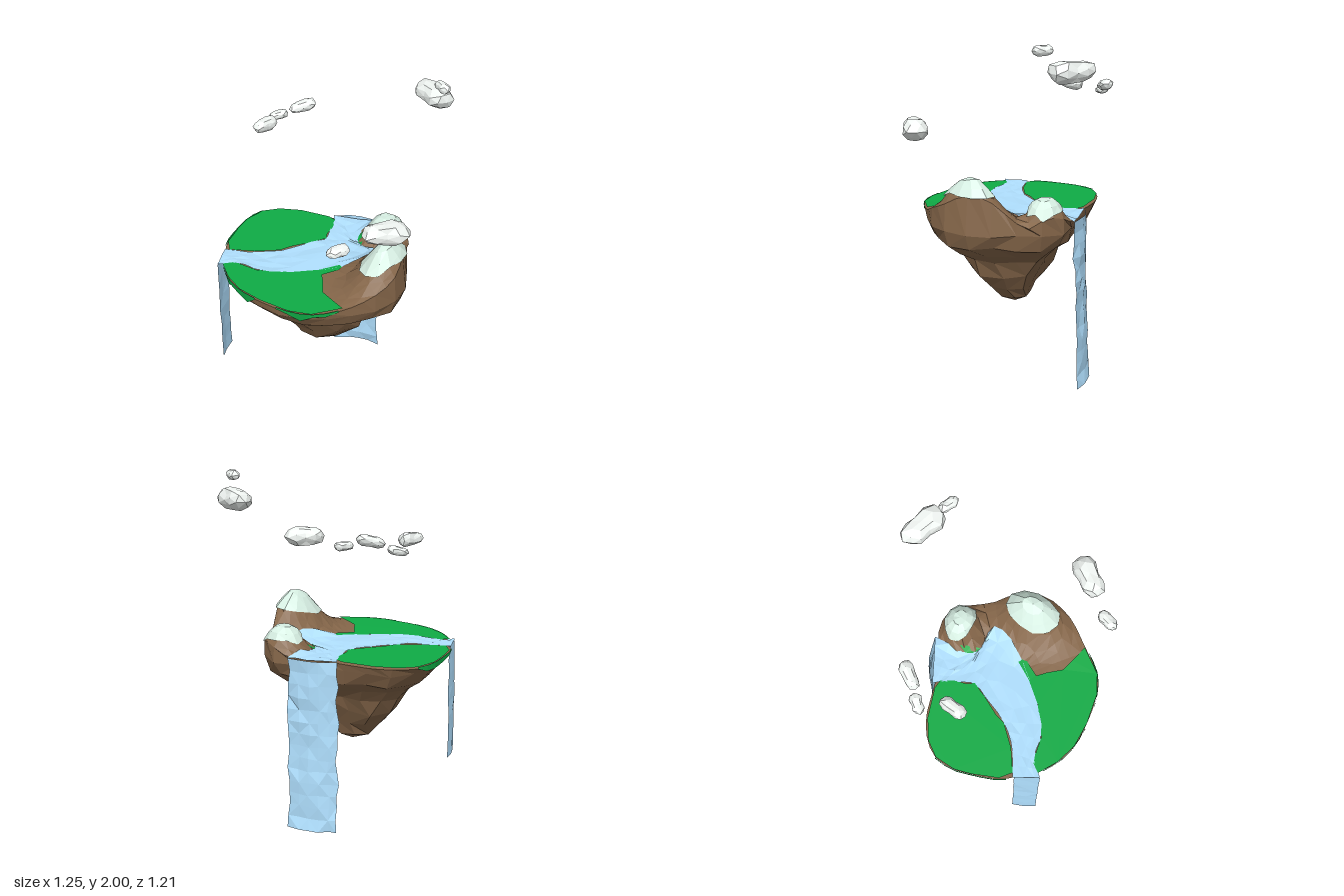
import * as THREE from 'three';

const mat = (color, side = THREE.FrontSide) => new THREE.MeshStandardMaterial({ color, flatShading: true, side });
const EARTH = mat(0x86674a), GRASS = mat(0x0fac46, THREE.DoubleSide), SNOW = mat(0xd8f0e4, THREE.DoubleSide);
const WATER = mat(0xb0e0ff, THREE.DoubleSide), CLOUD = mat(0xf1f6f3);

// repeatable noise in -1..1 from a position
const noise = (x, y, z) => {
  const s = Math.sin(x * 127.1 + y * 311.7 + z * 74.7) * 43758.5453;
  return 2 * (s - Math.floor(s)) - 1;
};

// height of the two hills above the meadow
function hills(x, z) {
  const big = 0.25 * Math.exp(-((x - 0.38) ** 2) / 0.02 - ((z - 0.07) ** 2) / 0.045);
  const r2 = ((x - 0.18) / 0.12) ** 2 + ((z + 0.28) / 0.112) ** 2;
  return Math.max(big, 0.14 * Math.exp(-(r2 ** 1.8)));
}

function named(name, geometry, material) {
  const mesh = new THREE.Mesh(geometry, material);
  mesh.name = name;
  return mesh;
}

// faceted surface through rows of points; collapsed triangles are dropped
function loft(rows, closed) {
  const n = rows[0].length, pos = [];
  const same = (p, q) => p.every((v, k) => Math.abs(v - q[k]) < 1e-6);
  const put = (a, b, c) => {
    if (!same(a, b) && !same(b, c) && !same(a, c)) pos.push(...a, ...b, ...c);
  };
  for (let r = 0; r < rows.length - 1; r++) {
    for (let i = 0; i < (closed ? n : n - 1); i++) {
      const j = (i + 1) % n;
      const a = rows[r][i], b = rows[r][j], c = rows[r + 1][i], d = rows[r + 1][j];
      if ((r + i) % 2) { put(a, b, c); put(b, d, c); }
      else { put(a, b, d); put(a, d, c); }
    }
  }
  const g = new THREE.BufferGeometry();
  g.setAttribute('position', new THREE.Float32BufferAttribute(pos, 3));
  g.computeVertexNormals();
  return g;
}

// island outline as x, z
const OUTLINE = [
  [0.5, 0.17], [0.45, 0.3], [0.33, 0.43], [0.2, 0.55], [0.08, 0.59], [-0.1, 0.595], [-0.25, 0.575],
  [-0.37, 0.52], [-0.47, 0.43], [-0.53, 0.34], [-0.58, 0.25], [-0.61, 0.1], [-0.62, 0], [-0.595, -0.12],
  [-0.52, -0.2], [-0.4, -0.26], [-0.25, -0.285], [-0.15, -0.3], [-0.05, -0.33], [0.05, -0.375],
  [0.14, -0.4], [0.25, -0.37], [0.33, -0.28], [0.38, -0.15], [0.45, -0.04], [0.49, 0.07]];
const curve2 = (pts, closed) =>
  new THREE.CatmullRomCurve3(pts.map(([x, z]) => new THREE.Vector3(x, 0, z)), closed);
const SEGS = 48;
const RIM = curve2(OUTLINE, true).getSpacedPoints(SEGS).slice(0, SEGS);
const CX = -0.04, CZ = 0.07;
const toward = (p, t) => [CX + (p.x - CX) * t, CZ + (p.z - CZ) * t];

function island() {
  const rows = [];
  // top surface, from the middle to the rim, pulled in where the rim is high
  for (const t of [0, 0.25, 0.45, 0.58, 0.68, 0.78, 0.86, 0.93, 1]) {
    rows.push(RIM.map((p) => {
      const [x, z] = toward(p, t - (t === 1 ? 0.3 * hills(p.x, p.z) : 0));
      return [x, 0.99 + hills(x, z) * (1 + 0.03 * noise(x, t, z)), z];
    }));
  }
  // underside, from the rim to the tip: height, share of the rim at left, right, front and back of the plan, rim points per facet
  const under = [
    [0.95, 0.95, 1.0, 0.98, 0.99, 2], [0.87, 0.82, 0.95, 0.88, 0.93, 2], [0.8, 0.66, 0.8, 0.73, 0.72, 3],
    [0.735, 0.57, 0.6, 0.59, 0.53, 3], [0.63, 0.48, 0.51, 0.45, 0.41, 4], [0.54, 0.35, 0.36, 0.33, 0.3, 4],
    [0.465, 0.21, 0.2, 0.18, 0.2, 6], [0.408, 0, 0, 0, 0, SEGS]];
  under.forEach(([y, left, right, front, back, step], k) => rows.push(RIM.map((_, i) => {
    if (step === SEGS) return [CX, y, CZ];
    const f = Math.floor((i + (k % 2) * (step >> 1)) / step) % (SEGS / step);
    const p = RIM[f * step], dx = p.x - CX, dz = p.z - CZ, w = dx * dx / (dx * dx + dz * dz);
    const t = w * (dx < 0 ? left : right) + (1 - w) * (dz > 0 ? front : back);
    const [x, z] = toward(p, t * (1 + (k ? 0.03 : 0.008) * noise(f, k, 3)));
    return [x, y + 0.012 * noise(f, k, 7), z];
  })));
  return named('earth', loft(rows, true), EARTH);
}

// flat patch laid over the ground
function patch(name, outline) {
  const g = new THREE.ShapeGeometry(new THREE.Shape(outline.map(([x, z]) => new THREE.Vector2(x, -z))));
  g.rotateX(-Math.PI / 2);
  const p = g.attributes.position;
  for (let i = 0; i < p.count; i++) p.setY(i, 1 + hills(p.getX(i), p.getZ(i)));
  g.computeVertexNormals();
  return named(name, g, GRASS);
}

// ragged grass hanging over the rim between two rim points
function fringe(from, to, depth) {
  const top = [], low = [];
  for (let i = from; i <= to; i++) {
    const p = RIM[i % SEGS], h = hills(p.x, p.z);
    const drop = i === from || i === to ? 0.005 : depth * (0.65 + 0.4 * noise(i, 2, 5));
    const [x, z] = toward(p, 1.006);
    const [x2, z2] = toward(p, 1.012 - 0.4 * drop);
    top.push([x, 1 + h, z]);
    low.push([x2, 0.995 + h - drop, z2]);
  }
  return named('grassFringe', loft([top, low], false), GRASS);
}

// snow cap draped on a hill, with an uneven edge
function snowCap(name, cx, cz, rx, rz) {
  const n = 11, rows = [0, 0.4, 0.75, 1].map((t) => Array.from({ length: n }, (_, i) => {
    const a = (i / n) * Math.PI * 2;
    const s = t === 1 ? 0.97 + 0.12 * noise(i, cx, 4) : t;
    const x = cx + Math.cos(a) * rx * s, z = cz + Math.sin(a) * rz * s;
    return [x, 1.003 + hills(x, z) + (t > 0 && t < 1 ? 0.004 * noise(i, t, cx) : 0), z];
  }));
  return named(name, loft(rows, true), SNOW);
}

function river() {
  const left = curve2([[-0.545, 0.32], [-0.38, 0.25], [-0.26, 0.15], [-0.17, 0.01], [-0.115, -0.08],
    [-0.14, -0.17], [-0.17, -0.26], [-0.2, -0.305]]).getPoints(18);
  const right = curve2([[-0.49, 0.46], [-0.4, 0.39], [-0.25, 0.38], [-0.02, 0.24], [0.2, 0.02],
    [0.235, -0.11], [0.09, -0.125], [0.04, -0.2], [0.07, -0.4]]).getPoints(18);
  const rows = left.map((l, i) => Array.from({ length: 6 }, (_, k) => {
    const x = l.x + (right[i].x - l.x) * k / 5, z = l.z + (right[i].z - l.z) * k / 5;
    return [x, 1 + hills(x, z) + 0.004 * noise(i, k, 1), z];
  }));
  return named('river', loft(rows, false), WATER);
}

// falling sheet: plan line at the top, drift of the foot, heights
function waterfall(name, line, foot, yTop, yEnd, steps, cols, rough) {
  const top = curve2(line).getPoints(cols);
  const rows = Array.from({ length: steps + 1 }, (_, r) => top.map((p, k) => {
    const t = r / steps, w = r ? rough : 0;
    return [p.x + foot[0] * t + w * noise(r, k, 1), yTop + (yEnd - yTop) * t + w * 0.5 * noise(r, k, 2),
      p.z + foot[1] * t * t + w * noise(r, k, 3)];
  }));
  return named(name, loft(rows, false), WATER);
}

// lumpy cloud: position, size, turn, tilt
function cloud([x, y, z, length, height, width, turn, tilt], index) {
  const g = new THREE.IcosahedronGeometry(1, 1);
  const p = g.attributes.position;
  for (let i = 0; i < p.count; i++) {
    const v = new THREE.Vector3().fromBufferAttribute(p, i);
    const q = v.toArray().map((c) => Math.round(c * 100) / 100 + 0);
    const waist = 0.88 + 0.4 * Math.abs(v.x) + (v.x > 0.1 ? 0.05 : -0.05);
    const k = 1 + 0.09 * noise(q[0] + index, q[1], q[2]);
    p.setXYZ(i, v.x * k * length / 2, v.y * k * waist * height / 2, v.z * k * waist * width / 2);
  }
  g.computeVertexNormals();
  const m = named('cloud', g, CLOUD);
  m.position.set(x, y, z);
  m.rotation.set(0, turn, tilt);
  return m;
}

export function createModel() {
  const group = new THREE.Group();
  group.name = 'floatingIsland';
  group.add(island());
  group.add(patch('leftMeadow', [
    [-0.17, -0.27], [-0.14, -0.2], [-0.13, -0.12], [-0.11, -0.08], [-0.17, 0.01], [-0.24, 0.1], [-0.27, 0.16],
    [-0.39, 0.25], [-0.52, 0.31], [-0.575, 0.25], [-0.61, 0.1], [-0.62, 0], [-0.593, -0.12], [-0.52, -0.195],
    [-0.4, -0.25], [-0.22, -0.282]]));
  group.add(patch('frontMeadow', [
    [-0.47, 0.44], [-0.42, 0.39], [-0.27, 0.385], [-0.1, 0.3], [0.02, 0.2], [0.12, 0.08], [0.12, 0.15],
    [0.06, 0.23], [0.1, 0.28], [0.15, 0.36], [0.22, 0.39], [0.32, 0.43], [0.2, 0.55], [0.08, 0.59],
    [-0.1, 0.595], [-0.25, 0.575], [-0.37, 0.52]]));
  group.add(patch('bankGrass', [[0.04, -0.2], [0.055, -0.155], [0.1, -0.12], [0.085, -0.18], [0.06, -0.24]]));

  // fringes along the front and left rim
  const near = (x, z) => RIM.reduce((b, p, i) =>
    Math.hypot(p.x - x, p.z - z) < Math.hypot(RIM[b].x - x, RIM[b].z - z) ? i : b, 0);
  group.add(fringe(near(0.3, 0.46), near(0.02, 0.59), 0.055));
  group.add(fringe(near(-0.12, 0.59), near(-0.45, 0.45), 0.075));
  group.add(fringe(near(-0.57, 0.26), near(-0.6, -0.1), 0.04));

  group.add(snowCap('largeSnowCap', 0.365, 0.085, 0.115, 0.155));
  group.add(snowCap('smallSnowCap', 0.182, -0.285, 0.12, 0.093));
  group.add(river());
  group.add(waterfall('backWaterfall', [[-0.2, -0.305], [-0.09, -0.375], [0.065, -0.4]], [-0.015, -0.03], 1, 0.005, 14, 5, 0.009));
  group.add(waterfall('frontWaterfall', [[-0.53, 0.325], [-0.51, 0.4], [-0.49, 0.46]], [-0.012, 0.003], 0.995, 0.31, 8, 2, 0.003));

  [[0.305, 1.86, -0.515, 0.265, 0.12, 0.15, -0.45, 0], [0.41, 1.97, -0.412, 0.115, 0.06, 0.065, -0.6, 0],
    [0.51, 1.512, 0.34, 0.25, 0.12, 0.145, 0.75, 0], [0.34, 1.442, 0.515, 0.125, 0.062, 0.08, 1.1, 0],
    [-0.408, 1.683, -0.3, 0.155, 0.065, 0.08, 0.8, 0.2], [-0.518, 1.632, -0.215, 0.11, 0.052, 0.07, 0.7, 0.2],
    [-0.48, 1.663, -0.035, 0.155, 0.075, 0.08, 1.3, 0]].forEach((c, i) => group.add(cloud(c, i)));
  return group;
}
